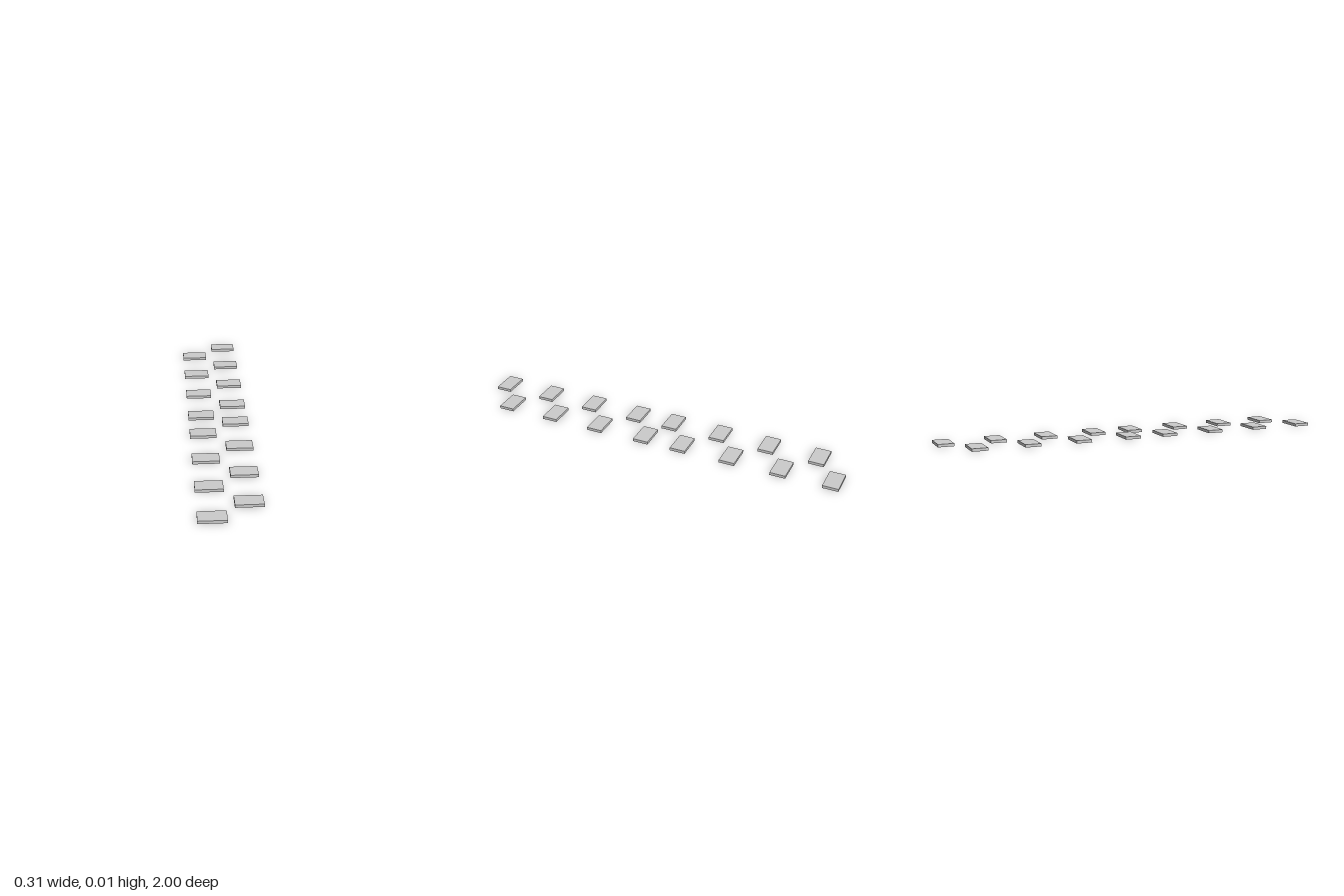
import * as THREE from 'three';

export function createModel() {
  const group = new THREE.Group();
  group.name = 'steppingSlabs';
  const material = new THREE.MeshStandardMaterial({ color: 0xcccccc, flatShading: true });
  const [width, height, depth] = [0.133, 0.0145, 0.081];
  const slab = new THREE.BoxGeometry(width, height, depth);
  const pitch = 0.265;

  // Two staggered columns; the right one is the left one turned half round
  for (const side of [1, -1]) {
    const column = new THREE.Group();
    column.name = side > 0 ? 'leftColumn' : 'rightColumn';
    for (let i = 0; i < 4; i++) {
      for (const z of [-0.9595 + i * pitch, 0.0415 + i * pitch]) {
        const mesh = new THREE.Mesh(slab, material);
        mesh.name = 'slab';
        mesh.position.set(side * 0.0865, height / 2, side * z);
        column.add(mesh);
      }
    }
    group.add(column);
  }
  return group;
}
